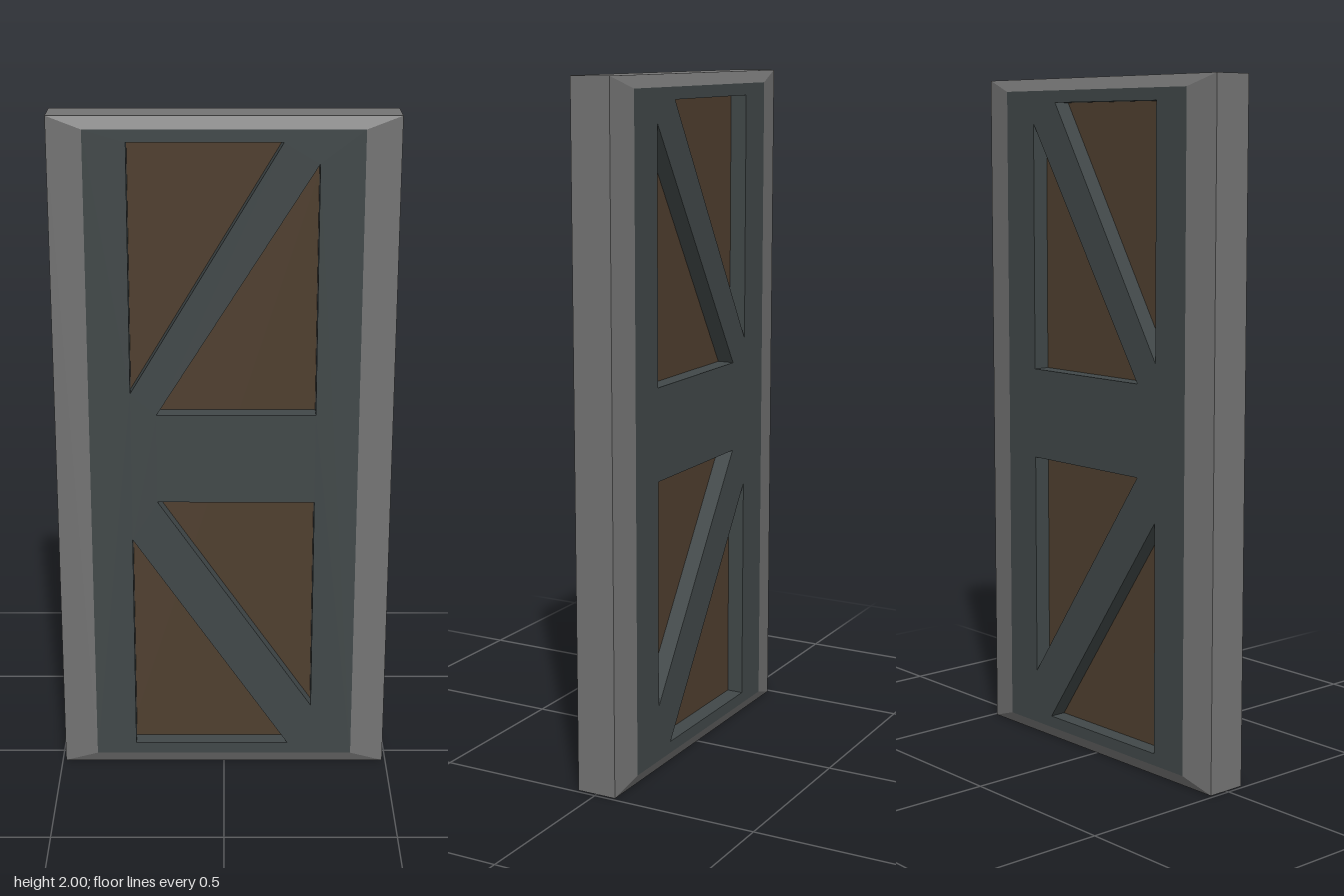
import * as THREE from 'three';

const W = 0.49, H = 2;                              // outer half width, height
const IW = 0.39, Y0 = 0.035, Y1 = 1.965;            // face panel bounds
const ZO = 0.06, ZI = 0.076, ZCORE = 0.026;         // rim, face and recessed core depths

function material(name, color) {
  const m = new THREE.MeshStandardMaterial({ color });
  m.name = name;
  return m;
}

function add(group, name, geometry, mat) {
  const mesh = new THREE.Mesh(geometry, mat);
  mesh.name = name;
  group.add(mesh);
  return mesh;
}

// Bevelled rim: rectangular loops joined from back to front
function rimGeometry() {
  const loop = (w, y0, y1, z) => [[-w, y0, z], [w, y0, z], [w, y1, z], [-w, y1, z]];
  const loops = [
    loop(IW, Y0, Y1, -ZI), loop(W, 0, H, -ZO),
    loop(W, 0, H, ZO), loop(IW, Y0, Y1, ZI),
  ];
  const pos = [];
  for (let l = 0; l < loops.length - 1; l++) {
    for (let i = 0; i < 4; i++) {
      const j = (i + 1) % 4;
      const a = loops[l][i], b = loops[l][j], c = loops[l + 1][j], d = loops[l + 1][i];
      pos.push(...a, ...b, ...c, ...a, ...c, ...d);
    }
  }
  const g = new THREE.BufferGeometry();
  g.setAttribute('position', new THREE.Float32BufferAttribute(pos, 3));
  g.computeVertexNormals();
  return g;
}

// Face panel with triangular openings that leave diagonal braces
function panelGeometry() {
  const points = (list) => list.map(([x, y]) => new THREE.Vector2(x, y));
  const shape = new THREE.Shape(points([[-IW, Y0], [IW, Y0], [IW, Y1], [-IW, Y1]]));
  const openings = [
    [[-0.27, 1.93], [0.165, 1.93], [-0.27, 1.205]],
    [[0.265, 1.87], [0.265, 1.14], [-0.195, 1.14]],
    [[-0.195, 0.87], [0.265, 0.87], [0.265, 0.2]],
    [[-0.27, 0.75], [0.195, 0.07], [-0.27, 0.07]],
  ];
  for (const o of openings) shape.holes.push(new THREE.Path(points(o)));
  const g = new THREE.ExtrudeGeometry(shape, { depth: 2 * ZI, bevelEnabled: false });
  return g.translate(0, 0, -ZI);
}

export function createModel() {
  const door = new THREE.Group();
  door.name = 'door';
  add(door, 'frame', rimGeometry(), material('grey frame', 0x747474));
  add(door, 'bracedPanel', panelGeometry(), material('dark slate', 0x414849));
  // Brown core seen at the bottom of the openings, on both sides
  const core = add(door, 'recessedCore', new THREE.BoxGeometry(0.6, 1.9, 2 * ZCORE),
    material('dark brown', 0x4f3f2f));
  core.position.y = H / 2;
  return door;
}
